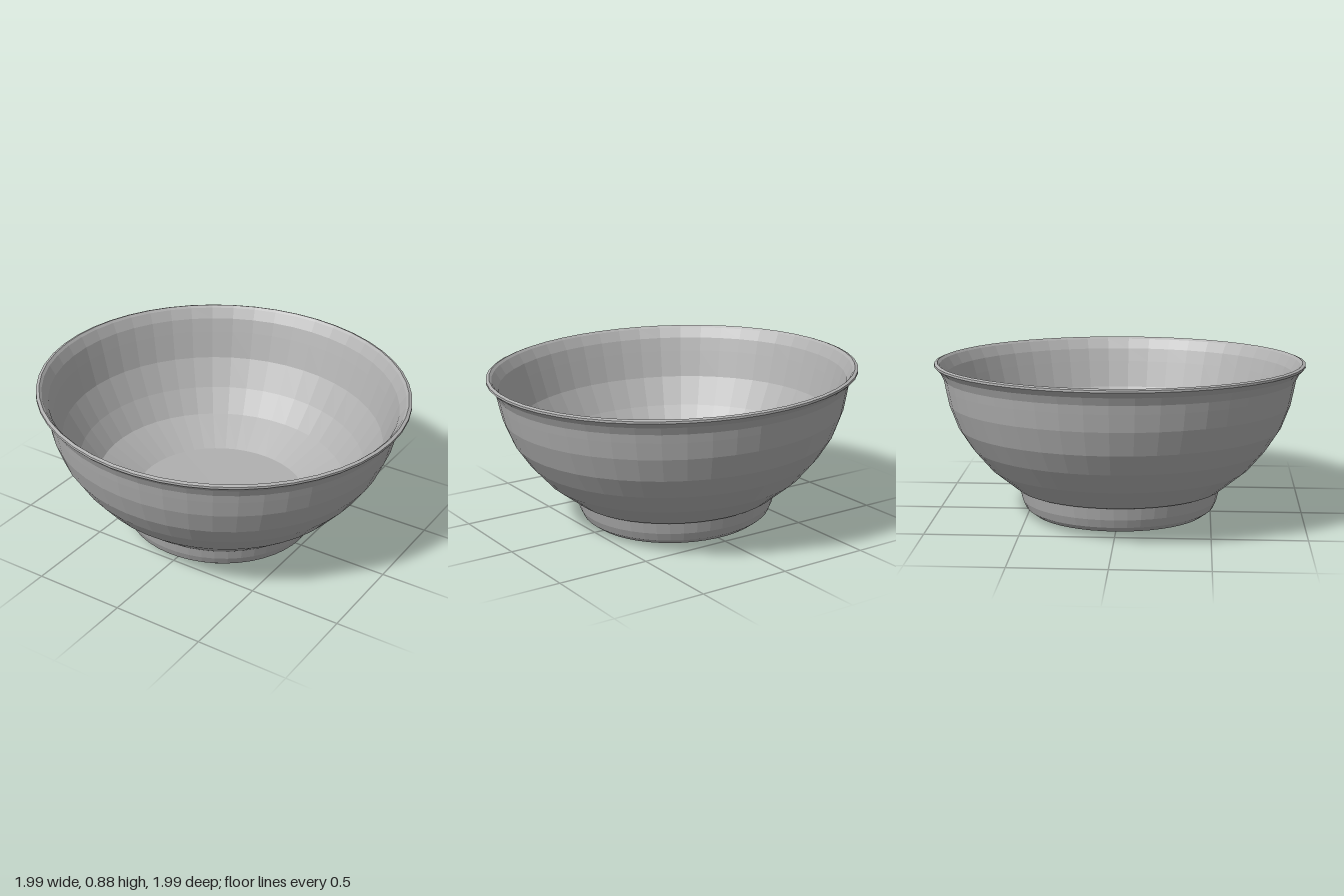
import * as THREE from 'three';

const SEGMENTS = 48;

export function createModel() {
  const model = new THREE.Group();
  model.name = 'bowl';

  const glaze = new THREE.MeshStandardMaterial({ color: 0xb0b0b0, flatShading: true });
  glaze.name = 'grey ceramic';

  // Each part is a turned profile of [radius, height]; consecutive parts share their end points
  const parts = {
    foot: [[0, 0], [0.475, 0], [0.515, 0.03], [0.535, 0.075], [0.55, 0.14]],
    outerWall: [
      [0.55, 0.14], [0.567, 0.145], [0.71, 0.262], [0.805, 0.375], [0.875, 0.485],
      [0.922, 0.61], [0.94, 0.7],
    ],
    rim: [
      [0.94, 0.7], [0.948, 0.745], [0.967, 0.785], [0.997, 0.815],
      [0.996, 0.826], [0.98, 0.832], [0.967, 0.82],
    ],
    innerWall: [
      [0.967, 0.82], [0.935, 0.765], [0.912, 0.69], [0.868, 0.54],
      [0.78, 0.385], [0.685, 0.255], [0.475, 0.14],
    ],
    floor: [[0.475, 0.14], [0, 0.135]],
  };

  for (const [name, profile] of Object.entries(parts)) {
    const points = profile.map(([r, h]) => new THREE.Vector2(r, h));
    const mesh = new THREE.Mesh(new THREE.LatheGeometry(points, SEGMENTS), glaze);
    mesh.name = name;
    model.add(mesh);
  }

  // The whole bowl leans slightly towards +x
  const leaning = new THREE.Group();
  leaning.name = 'leaningBowl';
  model.rotation.z = -0.036;
  model.position.set(-0.03, 0.018, 0);
  leaning.add(model);
  return leaning;
}
